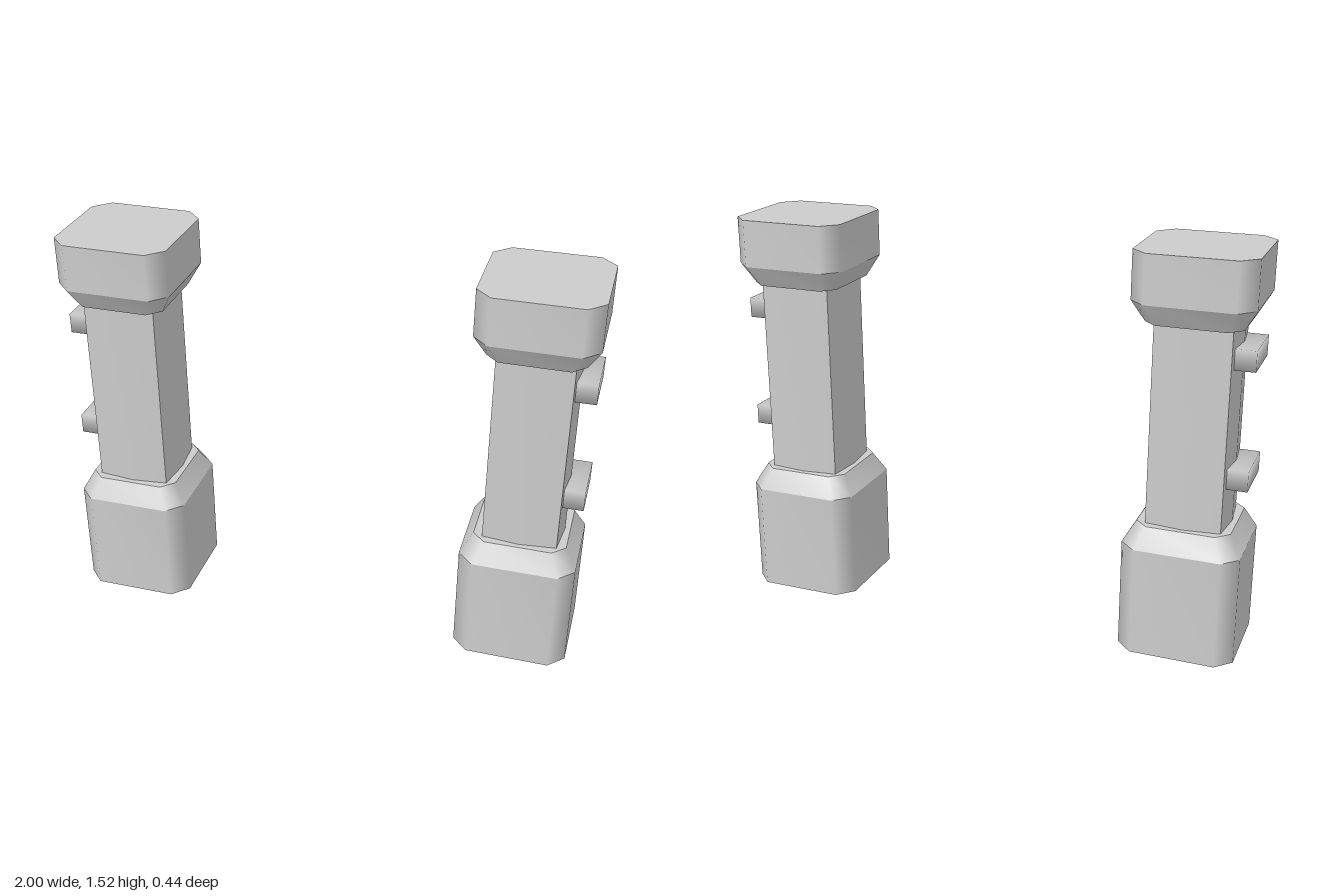
import * as THREE from 'three';
import { mergeGeometries, mergeVertices, toCreasedNormals } from 'three/addons/utils/BufferGeometryUtils.js';

const material = new THREE.MeshStandardMaterial({ color: 0xcccccc });

// Square cross-section with cut corners
function cutSquare(half, cut) {
  const k = half - cut;
  return [[half, -k], [half, k], [k, half], [-k, half], [-half, k], [-half, -k], [-k, -half], [k, -half]];
}

// Square cross-section whose sides bulge outward to a ridge
function bulgedSquare(corner, mid) {
  return [[mid, 0], [corner, corner], [0, mid], [-corner, corner], [-mid, 0], [-corner, -corner], [0, -mid], [corner, -corner]];
}

function indexed(positions, index) {
  const geo = new THREE.BufferGeometry();
  geo.setAttribute('position', new THREE.Float32BufferAttribute(positions, 3));
  geo.setIndex(index);
  geo.computeVertexNormals();
  return geo;
}

// Wall between two rings, smooth around and sharp at its rims
function band(low, y0, high, y1) {
  const n = low.length, index = [];
  for (let i = 0; i < n; i++) {
    const j = (i + 1) % n;
    index.push(i, n + i, n + j, i, n + j, j);
  }
  const points = [...low.map(([x, z]) => [x, y0, z]), ...high.map(([x, z]) => [x, y1, z])];
  return indexed(points.flat(), index);
}

// Flat end of a solid
function lid(ring, y, up) {
  const n = ring.length, index = [];
  for (let i = 0; i < n; i++) {
    const j = (i + 1) % n;
    index.push(n, ...(up ? [j, i] : [i, j]));
  }
  return indexed([...ring.map(([x, z]) => [x, y, z]), [0, y, 0]].flat(), index);
}

// Closed solid through a stack of [ring, height] levels
function stack(levels) {
  const parts = [lid(...levels[0], false), lid(...levels[levels.length - 1], true)];
  for (let i = 1; i < levels.length; i++) parts.push(band(...levels[i - 1], ...levels[i]));
  return mergeGeometries(parts);
}

// Box with softly shaded edges
function softBox(w, h, d) {
  const geo = new THREE.BoxGeometry(w, h, d);
  geo.deleteAttribute('normal');
  geo.deleteAttribute('uv');
  const merged = mergeVertices(geo);
  merged.computeVertexNormals();
  return merged;
}

export function createModel() {
  const model = new THREE.Group();
  model.name = 'pillarPair';

  const wide = cutSquare(0.22, 0.06);
  const narrow = cutSquare(0.175, 0.048);
  const shaftRing = bulgedSquare(0.14, 0.155);

  const base = stack([[wide, 0], [wide, 0.42], [narrow, 0.5]]);
  const shaft = toCreasedNormals(stack([[shaftRing, 0.48], [shaftRing, 1.28]]), 0.6);
  const capital = stack([[narrow, 1.26], [wide, 1.34], [wide, 1.52]]);
  const bracket = softBox(0.09, 0.077, 0.22);

  for (const side of [-1, 1]) {
    const pillar = new THREE.Group();
    pillar.name = side > 0 ? 'leftPillar' : 'rightPillar';
    pillar.position.x = side * 0.78;

    const add = (geo, name, x = 0, y = 0) => {
      const mesh = new THREE.Mesh(geo, material);
      mesh.name = name;
      mesh.position.set(x, y, 0);
      pillar.add(mesh);
    };
    add(base, 'base');
    add(shaft, 'shaft');
    add(capital, 'capital');

    // Brackets on the outer face
    add(bracket, 'lowerBracket', side * 0.175, 0.702);
    add(bracket, 'upperBracket', side * 0.175, 1.149);
    model.add(pillar);
  }
  return model;
}
